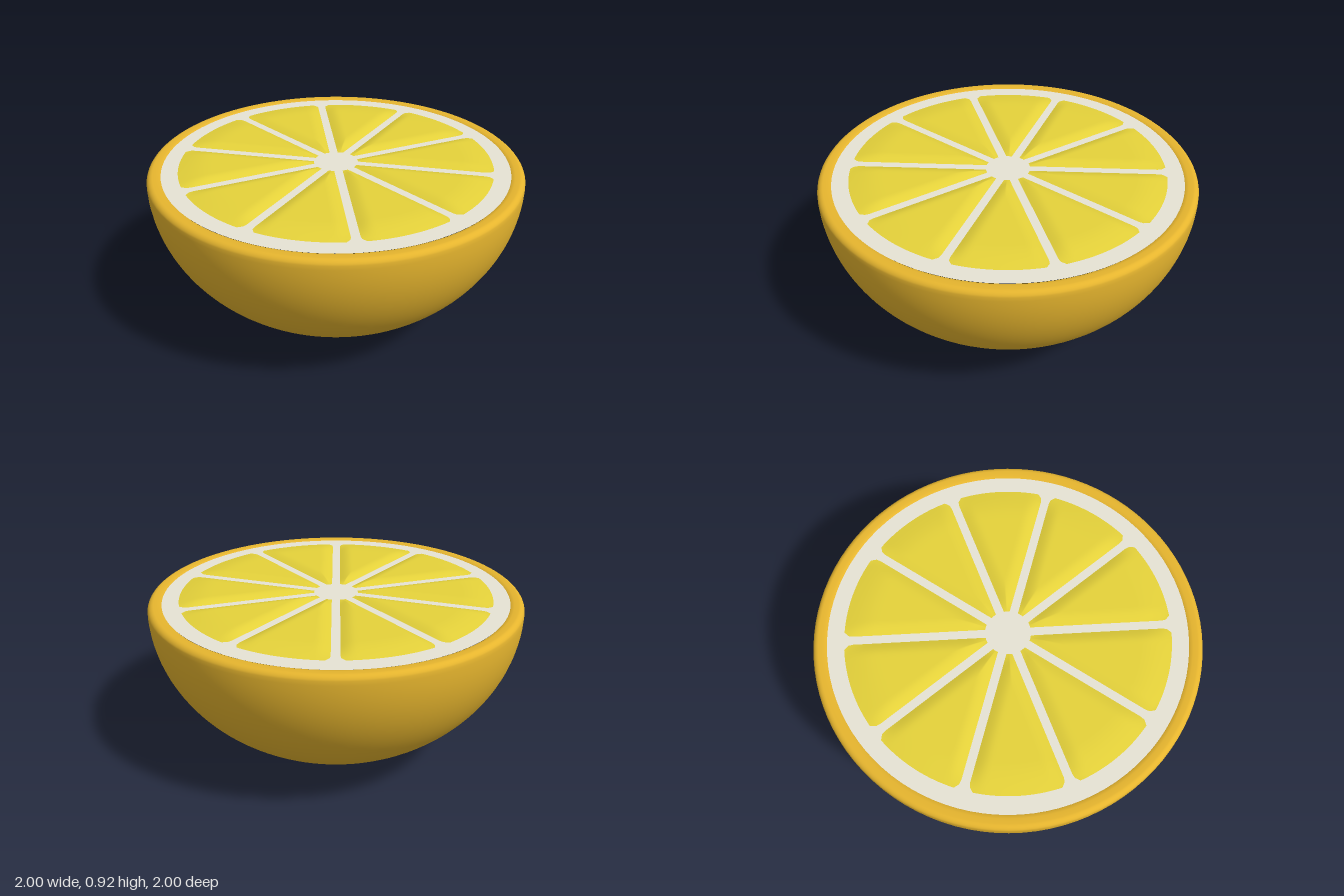
import * as THREE from 'three';

const peelMat = new THREE.MeshStandardMaterial({ name: 'peel yellow', color: 0xe6b52e });
const pithMat = new THREE.MeshStandardMaterial({ name: 'pith cream', color: 0xe6e3d4 });
const pulpMat = new THREE.MeshStandardMaterial({ name: 'pulp yellow', color: 0xe5d23a });

const SEGMENTS = 10;
const PITH_Y = 0.909;

function add(group, name, geometry, material) {
  const mesh = new THREE.Mesh(geometry, material);
  mesh.name = name;
  group.add(mesh);
  return mesh;
}

// Half-ellipsoid shell with a pointed tip below and a rounded rim on top
function peelGeometry() {
  const pts = [[0, 0.005], [0.07, 0.02], [0.14, 0.036]].map(([x, y]) => new THREE.Vector2(x, y));
  for (let i = 0; i <= 28; i++) {
    const a = THREE.MathUtils.lerp(0.2, Math.PI / 2, i / 28);
    pts.push(new THREE.Vector2(Math.sin(a), 0.87 - 0.84 * Math.cos(a)));
  }
  for (let i = 1; i <= 6; i++) {
    const a = (i / 6) * Math.PI / 2;
    pts.push(new THREE.Vector2(0.968 + 0.032 * Math.cos(a), 0.882 + 0.033 * Math.sin(a)));
  }
  pts.push(new THREE.Vector2(0.945, 0.914), new THREE.Vector2(0.93, 0.911), new THREE.Vector2(0.922, 0.904));
  return new THREE.LatheGeometry(pts, 96);
}

// Softly domed wedge centred on +x, kept a fixed distance from its two walls
function pulpGeometry() {
  const half = Math.PI / SEGMENTS, gap = 0.022, rIn = 0.118, rOut = 0.838;
  const nu = 24, nr = 32, pos = [], index = [];
  const ramp = (d, w) => Math.sin(Math.min(Math.max(d / w, 0), 1) * Math.PI / 2);
  for (let j = 0; j <= nr; j++) {
    const r = THREE.MathUtils.lerp(rIn, rOut, j / nr);
    // The outer corners are slightly rounded
    const corner = 0.025 * Math.max(0, (r - 0.8) / (rOut - 0.8)) ** 2;
    const limit = half - Math.asin((gap + corner) / r);
    for (let i = 0; i <= nu; i++) {
      const a = limit * (2 * i / nu - 1);
      const side = r * Math.sin(limit - Math.abs(a));
      const rise = ramp(side, 0.07) * ramp(rOut - r, 0.16) * ramp(r - rIn, 0.08);
      pos.push(r * Math.cos(a), PITH_Y + 0.002 + 0.018 * rise, r * Math.sin(a));
      if (i < nu && j < nr) {
        const p = j * (nu + 1) + i, q = p + nu + 1;
        index.push(p, p + 1, q, p + 1, q + 1, q);
      }
    }
  }
  const geo = new THREE.BufferGeometry();
  geo.setAttribute('position', new THREE.Float32BufferAttribute(pos, 3));
  geo.setIndex(index);
  geo.computeVertexNormals();
  return geo;
}

export function createModel() {
  const model = new THREE.Group();
  model.name = 'halfCitrus';
  add(model, 'peel', peelGeometry(), peelMat);

  // Flat cut face with its membranes
  const pith = add(model, 'pith', new THREE.CircleGeometry(0.926, 96), pithMat);
  pith.rotation.x = -Math.PI / 2;
  pith.position.y = PITH_Y;

  // Ring of pulp segments
  const pulp = new THREE.Group();
  pulp.name = 'pulpSegments';
  const wedge = pulpGeometry();
  for (let i = 0; i < SEGMENTS; i++) {
    add(pulp, 'pulpSegment' + (i + 1), wedge, pulpMat).rotation.y = (i + 0.5) * 2 * Math.PI / SEGMENTS;
  }
  model.add(pulp);
  return model;
}
